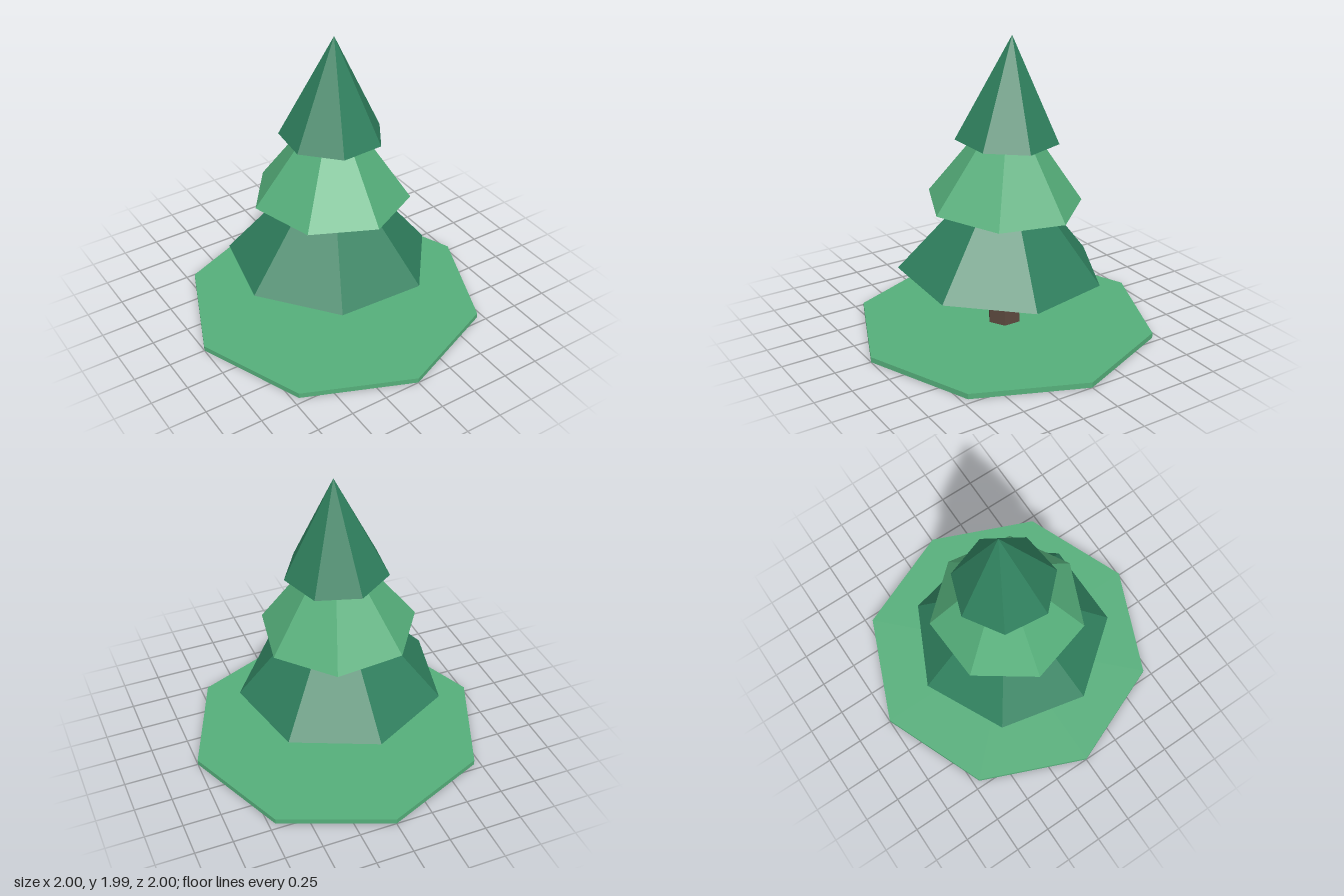
import * as THREE from 'three';

export function createModel() {
  const model = new THREE.Group();
  model.name = 'pineTree';

  const material = (name, color) => {
    const m = new THREE.MeshStandardMaterial({ color, flatShading: true });
    m.name = name;
    return m;
  };
  const lightGreen = material('lightGreen', 0x55ae7a);
  const darkGreen = material('darkGreen', 0x2f7f5d);
  const bark = material('bark', 0x5a483d);

  // Adds an upright faceted solid whose underside sits at height y
  const addSolid = (parent, name, mat, sides, bottomRadius, topRadius, y, height, yaw = 0) => {
    const geometry = new THREE.CylinderGeometry(topRadius, bottomRadius, height, sides);
    geometry.translate(0, height / 2, 0);
    const mesh = new THREE.Mesh(geometry, mat);
    mesh.name = name;
    mesh.position.y = y;
    mesh.rotation.y = yaw;
    parent.add(mesh);
  };

  // Ground slab and hexagonal tapered trunk
  addSolid(model, 'ground', lightGreen, 8, 1, 1, 0, 0.036);
  addSolid(model, 'trunk', bark, 6, 0.117, 0.092, 0.03, 0.47);

  // Foliage leans slightly as one piece about a pivot inside the crown
  const pivot = 1.2;
  const foliage = new THREE.Group();
  foliage.name = 'foliage';
  foliage.position.set(0, pivot, -0.015);
  foliage.rotation.set(-0.028, 0, -0.041);
  model.add(foliage);

  // Seven-sided tiers: name, material, radius, base height, tip height, turn
  const tiers = [
    ['lowerTier', darkGreen, 0.682, 0.405, 1.21, Math.PI / 7],
    ['middleTier', lightGreen, 0.518, 0.88, 1.6, 0.05],
    ['upperTier', darkGreen, 0.34, 1.317, 1.99, 0.55],
  ];
  for (const [name, mat, radius, base, tip, yaw] of tiers) {
    addSolid(foliage, name, mat, 7, radius, 0, base - pivot, tip - base, yaw);
  }

  return model;
}
